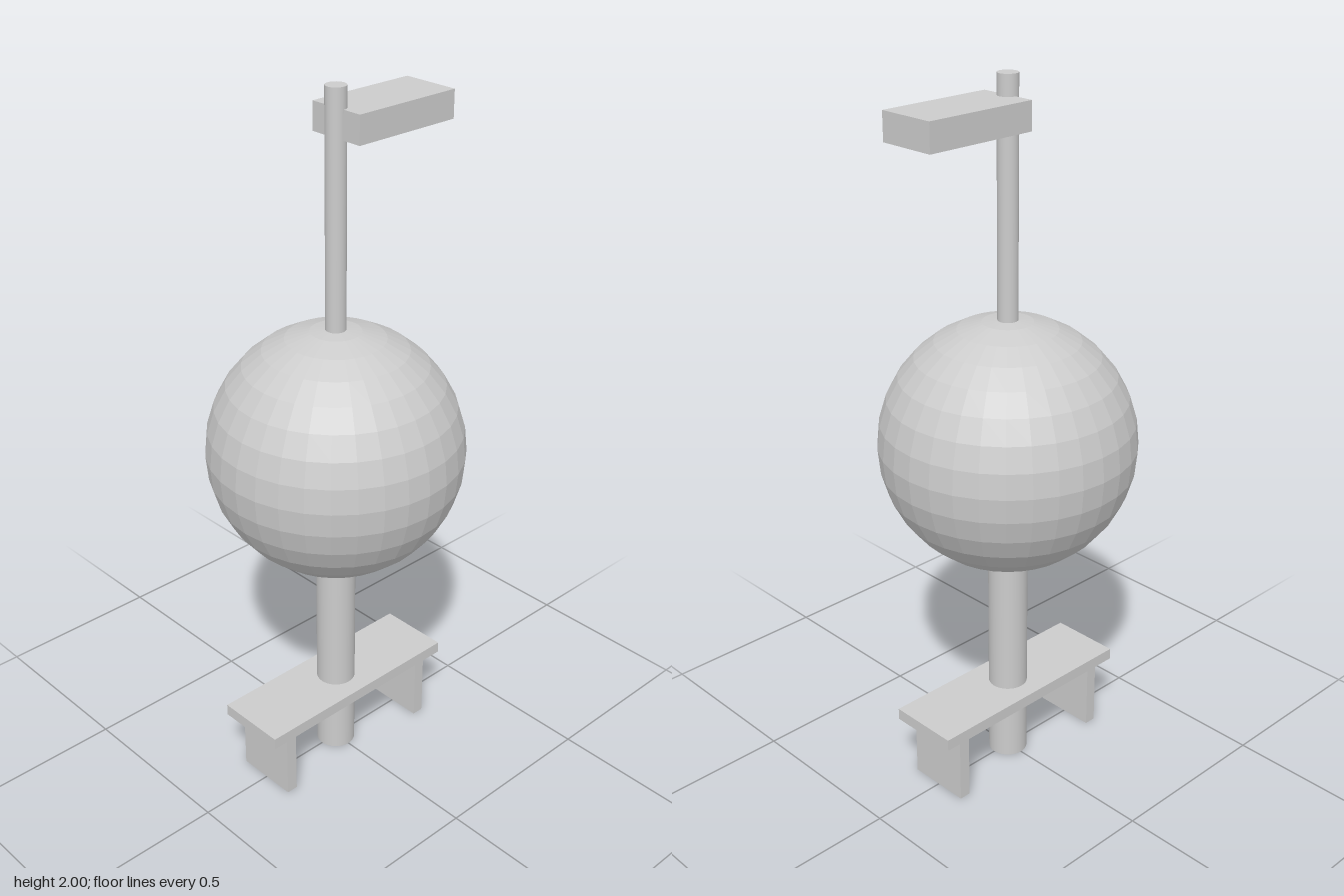
import * as THREE from 'three';

const grey = new THREE.MeshStandardMaterial({ color: 0xcccccc });
const faceted = new THREE.MeshStandardMaterial({ color: 0xcccccc, flatShading: true });

export function createModel() {
  const model = new THREE.Group();
  model.name = 'globeSignPost';

  const add = (name, geometry, x, y, material = grey) => {
    const mesh = new THREE.Mesh(geometry, material);
    mesh.name = name;
    mesh.position.set(x, y, 0);
    model.add(mesh);
  };
  // Upright cylinder between two heights
  const post = (name, radius, y0, y1) =>
    add(name, new THREE.CylinderGeometry(radius, radius, y1 - y0, 32), 0, (y0 + y1) / 2);
  // Box centred on z, given by its x and y extents
  const box = (name, x0, x1, y0, y1, depth) =>
    add(name, new THREE.BoxGeometry(x1 - x0, y1 - y0, depth), (x0 + x1) / 2, (y0 + y1) / 2);

  // Column, faceted globe and thin upper pole
  post('column', 0.056, 0, 0.7);
  add('globe', new THREE.SphereGeometry(0.356, 32, 16), 0, 1.003, faceted);
  post('upperPole', 0.028, 1.3, 2);

  // Sign block projecting to the left from the pole
  box('sign', 0, 0.332, 1.867, 1.944, 0.168);

  // Bench around the foot of the column
  box('benchSeat', -0.332, 0.332, 0.2, 0.234, 0.21);
  box('benchLegLeft', 0.244, 0.278, 0, 0.2, 0.188);
  box('benchLegRight', -0.278, -0.244, 0, 0.2, 0.188);

  return model;
}
